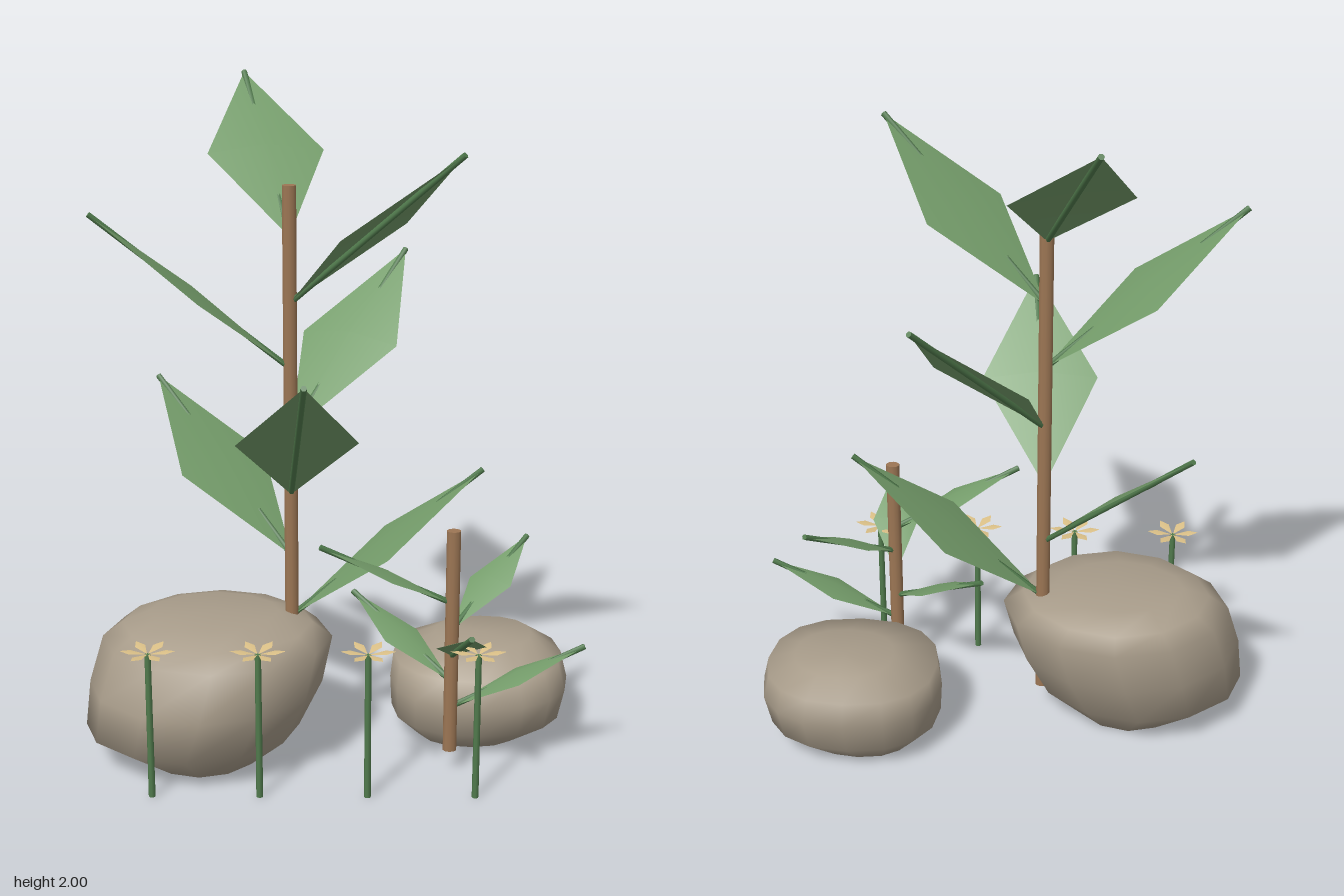
import * as THREE from 'three';

const mat = (name, color, side = THREE.FrontSide) => {
  const m = new THREE.MeshStandardMaterial({ color, side });
  m.name = name;
  return m;
};

export function createModel() {
  const stone = mat('stone', 0xa89c8a);
  const bark = mat('bark', 0x9c7654);
  const leafGreen = mat('leafGreen', 0x749c6a, THREE.DoubleSide);
  const stalkGreen = mat('stalkGreen', 0x517b4d);
  const petalCream = mat('petalCream', 0xdcc188, THREE.DoubleSide);

  const root = new THREE.Group();
  root.name = 'rockGarden';

  const add = (parent, name, geometry, material) => {
    const mesh = new THREE.Mesh(geometry, material);
    mesh.name = name;
    parent.add(mesh);
    return mesh;
  };

  // Kite blade along +x: base, widest row with a raised centre, and tip
  function bladeGeometry(start, length, rise, halfWidth, lift, widest) {
    const mx = start + (length - start) * widest, my = rise * widest;
    const g = new THREE.BufferGeometry();
    g.setAttribute('position', new THREE.Float32BufferAttribute([
      start, 0, 0, mx, my, halfWidth, mx, my + lift, 0, mx, my, -halfWidth, length, rise, 0,
    ], 3));
    g.setIndex([0, 1, 2, 0, 2, 3, 1, 4, 2, 2, 4, 3]);
    g.computeVertexNormals();
    return g;
  }

  // Boulder lofted through rings of [y, xMin, xMax, zMin, zMax]
  function boulder(name, rings, n, power) {
    const pos = [], idx = [];
    const pw = (v) => Math.sign(v) * Math.abs(v) ** (2 / power);
    const centre = ([y, x0, x1, z0, z1]) => pos.push((x0 + x1) / 2, y, (z0 + z1) / 2);
    rings.forEach(([y, x0, x1, z0, z1]) => {
      for (let i = 0; i < n; i++) {
        const a = (i / n) * Math.PI * 2;
        pos.push((x0 + x1) / 2 + pw(Math.cos(a)) * (x1 - x0) / 2, y,
          (z0 + z1) / 2 + pw(Math.sin(a)) * (z1 - z0) / 2);
      }
    });
    const last = (rings.length - 1) * n, bottom = rings.length * n, top = bottom + 1;
    centre(rings[0]);
    centre(rings[rings.length - 1]);
    for (let i = 0; i < n; i++) {
      const j = (i + 1) % n;
      for (let r = 0; r < last; r += n) {
        idx.push(r + i, r + n + i, r + j, r + j, r + n + i, r + n + j);
      }
      idx.push(bottom, i, j, top, last + j, last + i);
    }
    const g = new THREE.BufferGeometry();
    g.setAttribute('position', new THREE.Float32BufferAttribute(pos, 3));
    g.setIndex(idx);
    g.computeVertexNormals();
    add(root, name, g, stone);
  }

  boulder('largeRock', [
    [0, -0.57, -0.22, -0.12, 0.21],
    [0.1, -0.745, -0.1, -0.21, 0.32],
    [0.24, -0.73, -0.03, -0.26, 0.352],
    [0.375, -0.69, 0, -0.27, 0.31],
    [0.42, -0.63, -0.06, -0.23, 0.26],
    [0.45, -0.55, -0.16, -0.14, 0.15],
  ], 12, 1.9);
  boulder('smallRock', [
    [0, 0.26, 0.59, -0.3, 0.01],
    [0.075, 0.185, 0.71, -0.37, 0.09],
    [0.17, 0.18, 0.73, -0.385, 0.105],
    [0.25, 0.19, 0.71, -0.38, 0.08],
    [0.3, 0.32, 0.62, -0.31, -0.06],
  ], 16, 2.3);

  // Upright stem with leaves spiralling by the golden angle
  function plant(name, o) {
    const group = new THREE.Group();
    group.name = name;
    group.position.set(o.x, 0, o.z);
    group.scale.z = o.depth;
    root.add(group);
    const stem = add(group, 'stem',
      new THREE.CylinderGeometry(0.021, 0.021, o.top - o.bottom, 10), bark);
    stem.position.y = (o.top + o.bottom) / 2;

    o.rises.forEach((rise, i) => {
      const leaf = new THREE.Group();
      leaf.name = 'leaf';
      leaf.position.y = o.first + i * o.step;
      leaf.rotation.y = THREE.MathUtils.degToRad(137.5 * i);
      add(leaf, 'leafBlade',
        bladeGeometry(0, o.length, rise, o.halfWidth, o.lift, 0.5), leafGreen);
      const midrib = add(leaf, 'midrib',
        new THREE.CylinderGeometry(0.009, 0.009, Math.hypot(o.length, rise), 6), stalkGreen);
      midrib.position.set(o.length / 2, rise / 2, 0);
      midrib.rotation.z = Math.atan2(rise, o.length) - Math.PI / 2;
      group.add(leaf);
    });
  }

  plant('tallPlant', {
    x: -0.122, z: -0.022, depth: 0.865, bottom: 0.1, top: 1.73,
    first: 0.425, step: 0.193, length: 0.565, halfWidth: 0.174, lift: 0.022,
    rises: [0.465, 0.465, 0.465, 0.465, 0.465, 0.465, 0.41],
  });
  plant('shortPlant', {
    x: 0.35, z: 0.16, depth: 0.84, bottom: 0.07, top: 0.765,
    first: 0.21, step: 0.0825, length: 0.39, halfWidth: 0.072, lift: 0.018,
    rises: [0.195, 0.195, 0.195, 0.195, 0.195],
  });

  // Row of small six-petalled flowers
  const stalk = new THREE.CylinderGeometry(0.009, 0.01, 0.45, 8);
  const petal = bladeGeometry(0.003, 0.08, 0.01, 0.016, 0.002, 0.62);
  for (let i = 0; i < 4; i++) {
    const flower = new THREE.Group();
    flower.name = 'flower';
    flower.position.set(-0.523 + i * 0.3133, 0, 0.322);
    add(flower, 'flowerStalk', stalk, stalkGreen).position.y = 0.225;
    for (let k = 0; k < 6; k++) {
      const p = add(flower, 'petal', petal, petalCream);
      p.position.y = 0.45;
      p.rotation.y = (k * Math.PI) / 3;
    }
    root.add(flower);
  }

  return root;
}
